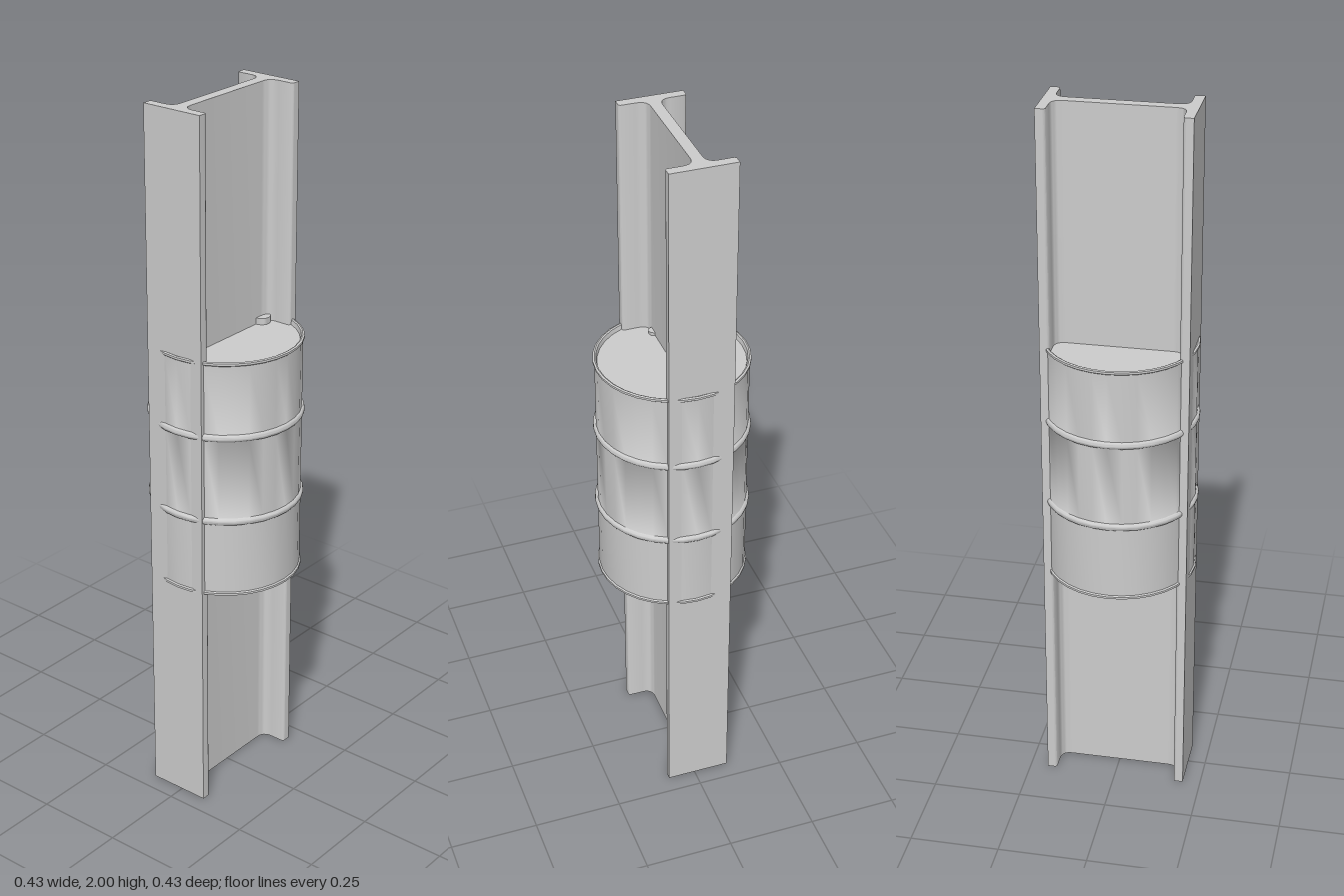
import * as THREE from 'three';
import { toCreasedNormals } from 'three/addons/utils/BufferGeometryUtils.js';

export function createModel() {
  const model = new THREE.Group();
  model.name = 'beamAndDrum';
  const steel = new THREE.MeshStandardMaterial({ color: 0xcccccc });
  steel.name = 'greySteel';

  const add = (name, geometry, crease = 0.7) => {
    const mesh = new THREE.Mesh(toCreasedNormals(geometry, crease), steel);
    mesh.name = name;
    model.add(mesh);
    return mesh;
  };

  // I-beam: one rolled section with filleted web and rounded flange lips
  const W = 0.09, D = 0.2, F = 0.173, T = 0.0155, R = 0.03, C = 0.008;
  const section = new THREE.Shape();
  section.moveTo(-W, -D);
  section.lineTo(W, -D);
  section.lineTo(W, -F - C);
  section.quadraticCurveTo(W, -F, W - C, -F);
  section.lineTo(T + R, -F);
  section.quadraticCurveTo(T, -F, T, -F + R);
  section.lineTo(T, F - R);
  section.quadraticCurveTo(T, F, T + R, F);
  section.lineTo(W - C, F);
  section.quadraticCurveTo(W, F, W, F + C);
  section.lineTo(W, D);
  section.lineTo(-W, D);
  section.lineTo(-W, F + C);
  section.quadraticCurveTo(-W, F, -W + C, F);
  section.lineTo(-T - R, F);
  section.quadraticCurveTo(-T, F, -T, F - R);
  section.lineTo(-T, -F + R);
  section.quadraticCurveTo(-T, -F, -T - R, -F);
  section.lineTo(-W + C, -F);
  section.quadraticCurveTo(-W, -F, -W, -F - C);
  section.closePath();
  const beam = new THREE.ExtrudeGeometry(section, { depth: 2, bevelEnabled: false, curveSegments: 6 });
  beam.rotateX(-Math.PI / 2);
  add('iBeam', beam).position.x = -0.011;

  // Drum: recessed ends, rolled rims and two raised hoops in one profile
  const wall = 0.205, y0 = 0.665, y1 = 1.35;
  const profile = [
    [0, y0 + 0.018], [0.196, y0 + 0.018], [0.2, y0 + 0.002], [0.204, y0],
    [0.209, y0 + 0.002], [0.209, y0 + 0.008], [wall, y0 + 0.011],
  ];
  for (const y of [0.89, 1.135]) {
    for (let i = 0; i <= 6; i++) {
      const a = (i / 6) * Math.PI;
      profile.push([wall + 0.0075 * Math.sin(a), y - 0.01 * Math.cos(a)]);
    }
  }
  profile.push(
    [wall, y1 - 0.011], [0.209, y1 - 0.008], [0.209, y1 - 0.002], [0.204, y1],
    [0.2, y1 - 0.002], [0.197, y1 - 0.014], [0, y1 - 0.014],
  );
  add('drum', new THREE.LatheGeometry(profile.map(([x, y]) => new THREE.Vector2(x, y)), 32));

  // Bung caps on the drum lid
  for (const [name, r, x, z, top] of [['largeBung', 0.024, 0.005, -0.147, 1.354], ['smallBung', 0.015, 0.003, 0.135, 1.345]]) {
    const h = top - 1.33;
    add(name, new THREE.CylinderGeometry(r, r, h, 20)).position.set(x, 1.33 + h / 2, z);
  }
  return model;
}
